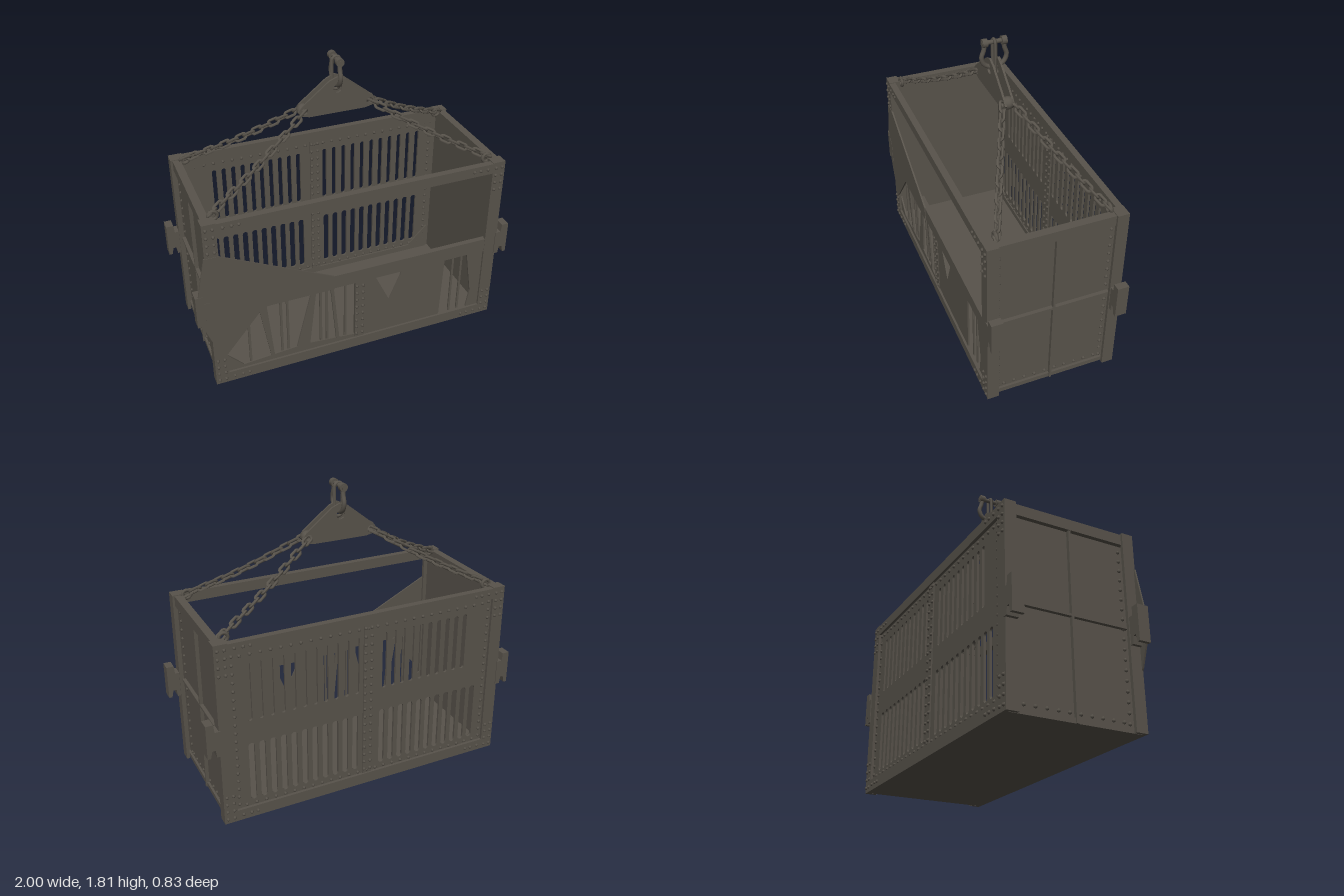
import * as THREE from 'three';
import { mergeGeometries } from 'three/addons/utils/BufferGeometryUtils.js';

export function createModel() {
  const steel = new THREE.MeshStandardMaterial({ color: 0x58534b, side: THREE.DoubleSide });
  steel.name = 'darkSteel';
  const root = new THREE.Group();
  root.name = 'liftingCage';

  const add = (name, geo, parent = root) => {
    const m = new THREE.Mesh(geo, steel);
    m.name = name;
    parent.add(m);
    return m;
  };
  // box given by its min and max corners
  const box = (name, x0, x1, y0, y1, z0, z1) => {
    const m = add(name, new THREE.BoxGeometry(x1 - x0, y1 - y0, z1 - z0));
    m.position.set((x0 + x1) / 2, (y0 + y1) / 2, (z0 + z1) / 2);
    return m;
  };
  const poly = pts => new THREE.Shape(pts.map(p => new THREE.Vector2(p[0], p[1])));
  // flat plate in the xy plane, from z to z + depth
  const plate = (name, shape, z, depth) => {
    const geo = new THREE.ExtrudeGeometry(shape, { depth, bevelEnabled: false, curveSegments: 5 });
    geo.translate(0, 0, z);
    return add(name, geo);
  };
  const sides = [-1, 1];

  // floor
  box('floor', -0.9, 0.9, 0, 0.03, -0.39, 0.39);

  // corner posts as angle irons, with side lugs
  for (const sx of sides) for (const sz of sides) {
    const bx = (n, a, b, y0, y1, c, d) => box(n, Math.min(a * sx, b * sx), Math.max(a * sx, b * sx),
      y0, y1, Math.min(c * sz, d * sz), Math.max(c * sz, d * sz));
    bx('cornerPostFace', 0.845, 0.925, 0, 1.14, 0.385, 0.405);
    bx('cornerPostSide', 0.905, 0.925, 0, 1.14, 0.335, 0.405);
    bx('cornerCap', 0.845, 0.925, 1.12, 1.145, 0.335, 0.405);
    const lug = poly([[0.915, 0.63], [0.95, 0.63], [0.955, 0.68], [1, 0.68], [1, 0.47], [0.98, 0.47],
      [0.97, 0.515], [0.95, 0.515], [0.945, 0.47], [0.915, 0.47]].map(([x, y]) => [x * sx, y]));
    plate('sideLug', lug, sz > 0 ? 0.34 : -0.41, 0.07);
  }

  // long beams at the front and back
  for (const s of sides) {
    const z0 = s > 0 ? 0.365 : -0.405, z1 = z0 + 0.04;
    box('topBeam', -0.85, 0.85, 1.075, 1.14, z0, z1);
    box('bottomBeam', -0.85, 0.85, 0, 0.07, z0, z1);
  }

  // slotted back panel
  const back = poly([[-0.87, 0.03], [0.87, 0.03], [0.87, 1.1], [-0.87, 1.1]]);
  const slotRow = (x0, x1, n, y0, y1, w) => {
    for (let i = 0; i < n; i++) {
      const x = x0 + (x1 - x0) * i / (n - 1), r = w / 2;
      const h = new THREE.Path();
      h.moveTo(x - r, y0 + r);
      h.absarc(x, y0 + r, r, Math.PI, Math.PI * 2, false);
      h.lineTo(x + r, y1 - r);
      h.absarc(x, y1 - r, r, 0, Math.PI, false);
      h.closePath();
      back.holes.push(h);
    }
  };
  slotRow(-0.66, -0.11, 10, 0.635, 1.0, 0.028);
  slotRow(0.07, 0.735, 11, 0.635, 1.0, 0.028);
  slotRow(-0.75, -0.1, 11, 0.11, 0.49, 0.037);
  slotRow(0.08, 0.735, 11, 0.11, 0.49, 0.037);
  plate('backPanel', back, -0.388, 0.014);
  box('backCentreStrip', -0.03, 0.03, 0.06, 1.08, -0.395, -0.366);

  // corner gussets on the back panel
  for (const sx of sides) for (const [y, d] of [[1.08, -1], [0.06, 1]])
    plate('cornerGusset', poly([[0.85 * sx, y], [0.7 * sx, y], [0.85 * sx, y + 0.15 * d]]), -0.375, 0.01);

  // front rail, torn sheet and broken slats
  box('frontRail', -0.3, 0.85, 0.505, 0.595, 0.37, 0.403);
  const torn = {
    tornWeb: [[-0.93, 0.93], [-0.85, 0.93], [-0.17, 0.597], [-0.17, 0.503], [-0.61, 0.503], [-0.85, 0.21],
      [-0.93, 0.35], [-0.985, 0.5], [-0.985, 0.66]],
    leftShard: [[-0.64, 0.51], [-0.59, 0.51], [-0.55, 0.07], [-0.57, 0.07]],
    wideShard: [[-0.31, 0.51], [-0.42, 0.07], [-0.33, 0.07], [-0.28, 0.51]],
    thinShard: [[-0.19, 0.51], [-0.17, 0.51], [-0.13, 0.07], [-0.15, 0.07]],
    centreShard: [[0.02, 0.51], [0.1, 0.51], [0.2, 0.3], [0.27, 0.47], [0.28, 0.51], [0.575, 0.51], [0.56, 0.07], [0.02, 0.07]],
    rightShard: [[0.73, 0.51], [0.85, 0.51], [0.85, 0.07], [0.76, 0.07], [0.78, 0.2]],
    leftGusset: [[-0.85, 0.06], [-0.72, 0.06], [-0.85, 0.2]],
    lowerLip: [[-0.75, 0.06], [-0.75, 0.09], [-0.35, 0.12], [0, 0.09], [0, 0.06]],
  };
  for (const [name, pts] of Object.entries(torn))
    plate(name, poly(pts), name === 'tornWeb' ? 0.398 : 0.382, 0.01);
  box('frontCentreStrip', -0.03, 0.03, 0.06, 0.51, 0.375, 0.396);
  for (const x of [-0.7, -0.5, -0.46, -0.25, -0.21, -0.09, 0.64, 0.7])
    box('frontSlat', x - 0.007, x + 0.007, 0.06, 0.51, 0.375, 0.385);

  // end walls with crossed ribs
  for (const s of sides) {
    const bx = (n, a, b, y0, y1, z0, z1) => box(n, Math.min(a * s, b * s), Math.max(a * s, b * s), y0, y1, z0, z1);
    bx('endPanel', 0.872, 0.886, 0, 1.1, -0.385, 0.385);
    bx('endTopBeam', 0.865, 0.912, 1.075, 1.14, -0.385, 0.385);
    bx('endBottomBeam', 0.872, 0.9, 0, 0.03, -0.36, 0.36);
    bx('endUprightRib', 0.88, 0.908, 0, 1.08, -0.007, 0.007);
    bx('endCrossRib', 0.88, 0.908, 0.568, 0.582, -0.34, 0.34);
  }

  // rivets, facing along an axis: 'z' or 'x' with a sign
  const dome = new THREE.SphereGeometry(0.011, 6, 2, 0, Math.PI * 2, 0, Math.PI / 2);
  const rivets = [];
  const rivet = (x, y, z, axis, s) => {
    const g = dome.clone();
    if (axis === 'z') g.rotateX(s * Math.PI / 2); else g.rotateZ(-s * Math.PI / 2);
    rivets.push(g.translate(x, y, z));
  };
  for (const sx of sides) for (const sz of sides) {
    for (const y0 of [0.03, 0.96]) for (let i = 0; i < 4; i++) {
      const y = y0 + i * 0.05;
      for (const x of [0.865, 0.905]) rivet(x * sx, y, 0.405 * sz, 'z', sz);
    }
    for (const y of [0.035, 1.11]) for (const x of [0.72, 0.76, 0.81]) rivet(x * sx, y, 0.405 * sz, 'z', sz);
  }
  const backRivet = (x, y, zIn, zOut) => { rivet(x, y, zIn, 'z', 1); rivet(x, y, zOut, 'z', -1); };
  for (let i = 0; i < 19; i++) {
    const y = 0.1 + i * 0.053;
    for (const s of sides) {
      backRivet(0.02 * s, y, -0.366, -0.395);
      backRivet(0.825 * s, y, -0.374, -0.388);
      if (y < 0.5) rivet(0.02 * s, y, 0.396, 'z', 1);
    }
  }
  for (let i = 0; i < 27; i++) for (const y of [0.085, 1.05]) backRivet(-0.78 + i * 0.06, y, -0.374, -0.388);
  for (const s of sides) {
    for (let i = 0; i < 18; i++) for (const z of [-0.325, 0.325]) rivet(0.886 * s, 0.05 + i * 0.058, z, 'x', s);
    for (let i = 0; i < 10; i++) rivet(0.886 * s, 0.055, -0.29 + i * 0.0644, 'x', s);
  }
  add('rivets', mergeGeometries(rivets));

  // spreader made of two plates
  for (const z of [-0.03, 0.018]) {
    const sh = poly([[-0.17, 1.465], [0.17, 1.465], [0.215, 1.475], [0.24, 1.505], [0.215, 1.535],
      [0.05, 1.665], [0, 1.685], [-0.05, 1.665], [-0.215, 1.535], [-0.24, 1.505], [-0.215, 1.475]]);
    for (const [x, y, r] of [[-0.2, 1.505, 0.02], [0.2, 1.505, 0.02], [0, 1.615, 0.027]])
      sh.holes.push(new THREE.Path().absarc(x, y, r, 0, Math.PI * 2, true));
    plate('spreaderPlate', sh, z, 0.012);
  }
  for (const s of sides) {
    const eye = add('spreaderEye', new THREE.TorusGeometry(0.028, 0.01, 6, 14));
    eye.scale.z = 3;
    eye.position.set(0.2 * s, 1.505, 0);
  }

  // stretched ring used for every link
  const linkGeo = (r, wire, stretch) => {
    const g = new THREE.TorusGeometry(r, wire, 6, 14);
    const p = g.attributes.position;
    for (let i = 0; i < p.count; i++) {
      const x = p.getX(i);
      if (Math.abs(x) > 1e-4) p.setX(i, x + Math.sign(x) * stretch);
    }
    g.computeVertexNormals();
    return g;
  };

  // four chains from the corners to the spreader
  const link = linkGeo(0.017, 0.0085, 0.017);
  for (const sx of sides) for (const sz of sides) {
    const chain = new THREE.Group();
    chain.name = 'chain';
    root.add(chain);
    const a = new THREE.Vector3(0.84 * sx, 1.155, 0.315 * sz), b = new THREE.Vector3(0.215 * sx, 1.495, 0.035 * sz);
    const q = new THREE.Quaternion().setFromUnitVectors(new THREE.Vector3(1, 0, 0), b.clone().sub(a).normalize());
    const n = 15;
    for (let i = 0; i < n; i++) {
      const m = add('chainLink', link, chain);
      m.position.lerpVectors(a, b, i / (n - 1));
      m.position.y -= 0.02 * Math.sin(Math.PI * i / (n - 1));
      m.quaternion.copy(q);
      m.rotateX(Math.PI / 4 + (i % 2) * Math.PI / 2);
    }
    const ear = add('chainEar', new THREE.TorusGeometry(0.026, 0.011, 6, 12), chain);
    ear.position.set(0.84 * sx, 1.145, 0.325 * sz);
  }

  // shackle with bow, pin and hanging link
  const bow = new THREE.CatmullRomCurve3([[0.055, 1.785], [0.062, 1.74], [0.075, 1.695], [0.055, 1.65], [0, 1.63],
    [-0.055, 1.65], [-0.075, 1.695], [-0.062, 1.74], [-0.055, 1.785]].map(([z, y]) => new THREE.Vector3(0, y, z)));
  add('shackleBow', new THREE.TubeGeometry(bow, 28, 0.014, 8));
  const pin = add('shacklePin', new THREE.CylinderGeometry(0.013, 0.013, 0.15, 10));
  pin.rotation.x = Math.PI / 2;
  pin.position.y = 1.785;
  for (const s of sides) {
    const nut = add('shackleEye', new THREE.CylinderGeometry(0.025, 0.025, 0.03, 10));
    nut.rotation.x = Math.PI / 2;
    nut.position.set(0, 1.785, 0.057 * s);
  }
  const hanger = add('hangingLink', linkGeo(0.024, 0.01, 0.075));
  hanger.rotation.z = Math.PI / 2;
  hanger.position.y = 1.7;

  return root;
}
